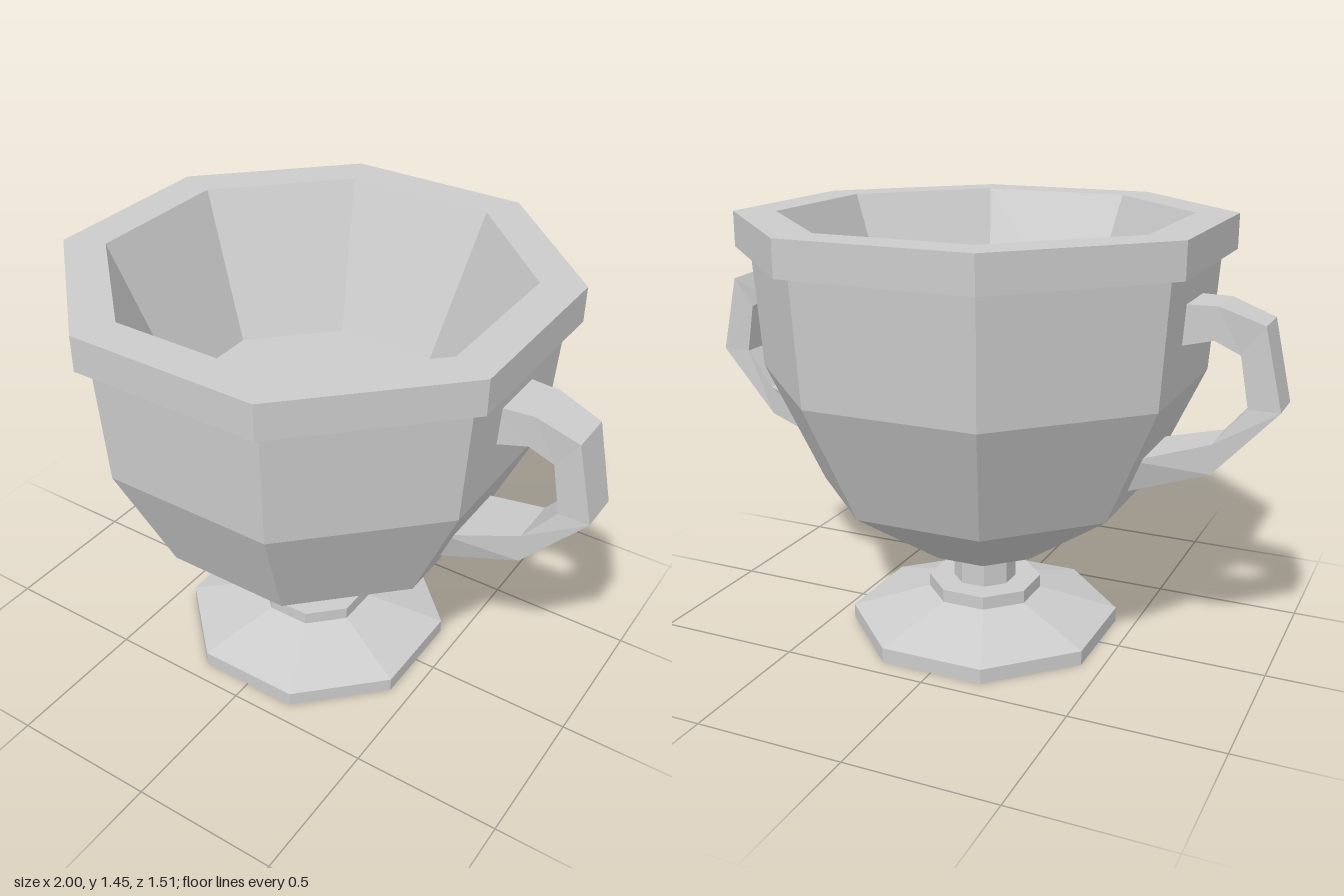
import * as THREE from 'three';

const material = new THREE.MeshStandardMaterial({ color: 0xcccccc, flatShading: true });

// Eight-sided turned part; profile is [distance to flat side, height], bottom to top on the outside
function turned(name, profile) {
  const k = 1 / Math.cos(Math.PI / 8);
  const points = profile.map(([r, y]) => new THREE.Vector2(r * k, y));
  const geometry = new THREE.LatheGeometry(points, 8, Math.PI / 8).toNonIndexed();
  geometry.computeVertexNormals();
  const mesh = new THREE.Mesh(geometry, material);
  mesh.name = name;
  return mesh;
}

// Four-sided bar swept through sections: outer x, y, half width, then inner x, y, half width
function handleGeometry() {
  const sections = [
    [0.66, 1.22, 0.10, 0.66, 1.085, 0.10],
    [0.80, 1.22, 0.085, 0.79, 1.115, 0.085],
    [0.94, 1.17, 0.073, 0.87, 1.075, 0.073],
    [1.00, 0.91, 0.07, 0.90, 0.91, 0.07],
    [0.80, 0.69, 0.08, 0.80, 0.79, 0.085],
    [0.50, 0.588, 0.098, 0.56, 0.717, 0.13],
  ];
  const positions = [];
  const index = [];
  sections.forEach(([ox, oy, ow, ix, iy, iw], s) => {
    positions.push(ox, oy, ow, ix, iy, iw, ix, iy, -iw, ox, oy, -ow);
    if (s === sections.length - 1) return;
    for (let c = 0; c < 4; c++) {
      const a = s * 4 + c;
      const b = s * 4 + ((c + 1) % 4);
      index.push(a, b, b + 4, a, b + 4, a + 4);
    }
  });
  // End caps, sunk into the bowl
  const e = (sections.length - 1) * 4;
  index.push(0, 2, 1, 0, 3, 2, e, e + 1, e + 2, e, e + 2, e + 3);
  const indexed = new THREE.BufferGeometry();
  indexed.setAttribute('position', new THREE.Float32BufferAttribute(positions, 3));
  indexed.setIndex(index);
  const geometry = indexed.toNonIndexed();
  geometry.computeVertexNormals();
  return geometry;
}

export function createModel() {
  const group = new THREE.Group();
  group.name = 'trophyCup';

  // Foot, collar and stem
  group.add(turned('foot', [[0, 0], [0.43, 0], [0.43, 0.05], [0.18, 0.13], [0, 0.13]]));
  group.add(turned('collar', [[0.18, 0.13], [0.18, 0.175], [0, 0.175]]));
  group.add(turned('stem', [[0.1, 0.175], [0.1, 0.26]]));

  // Bowl with thick rim and hollow inside
  group.add(turned('bowl', [
    [0, 0.26], [0.1, 0.26], [0.2, 0.3], [0.51, 0.53], [0.685, 0.93], [0.71, 1.33],
    [0.755, 1.33], [0.755, 1.445], [0.625, 1.445], [0.435, 0.95], [0, 0.95],
  ]));

  // Matching handles on both sides
  const geometry = handleGeometry();
  for (const [name, angle] of [['leftHandle', 0], ['rightHandle', Math.PI]]) {
    const handle = new THREE.Mesh(geometry, material);
    handle.name = name;
    handle.rotation.y = angle;
    group.add(handle);
  }
  return group;
}
